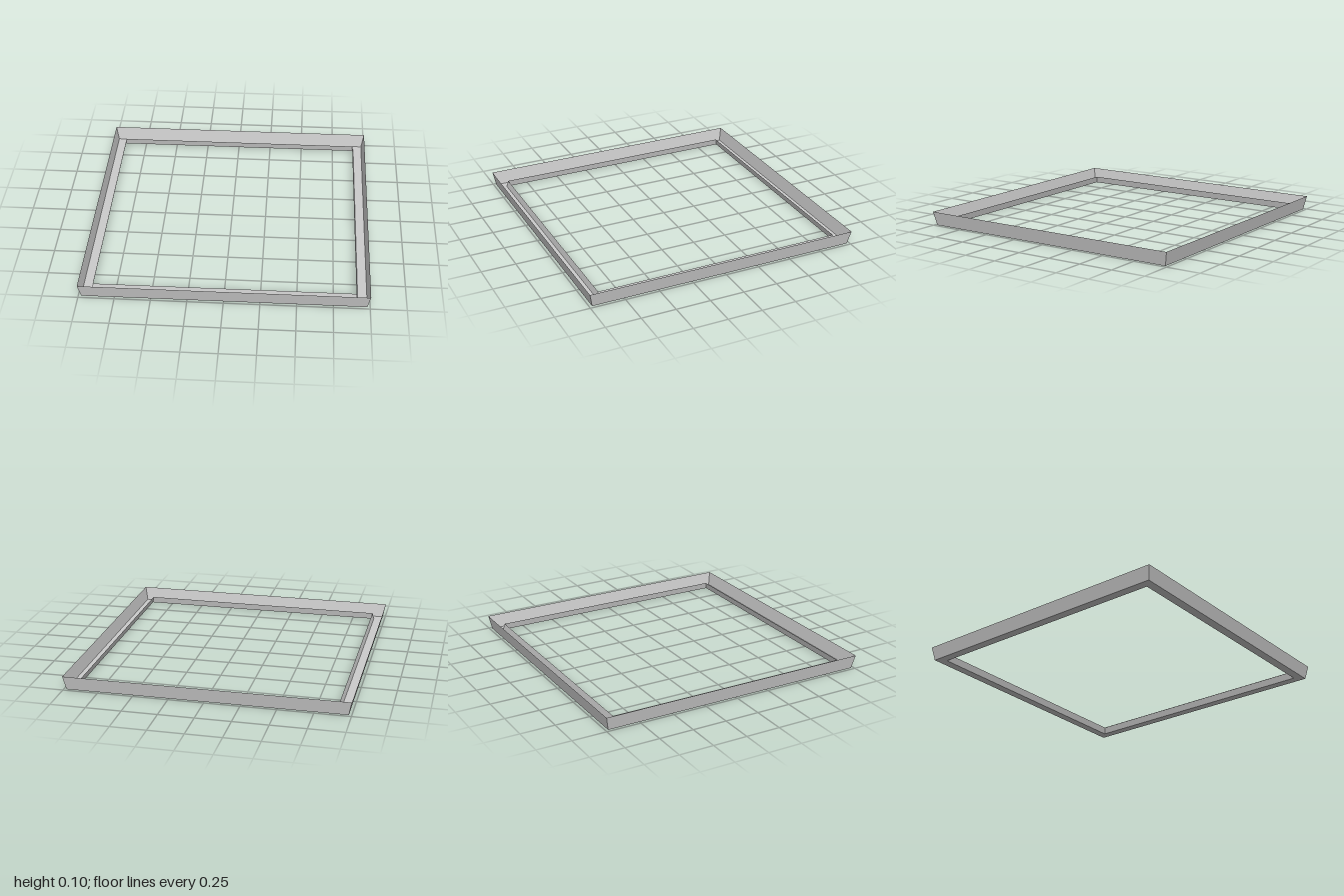
import * as THREE from 'three';

// Square channel frame: a thin tray section swept around four mitred sides.
export function createModel() {
  const group = new THREE.Group();
  group.name = 'squareFrame';

  const material = new THREE.MeshStandardMaterial({
    color: 0xcccccc, flatShading: true, side: THREE.DoubleSide,
  });

  // Four-sided ring; each section point is [distance from centre to side, height]
  const addRing = (name, section) => {
    const points = section.map(([d, y]) => new THREE.Vector2(d * Math.SQRT2, y));
    const mesh = new THREE.Mesh(new THREE.LatheGeometry(points, 4, Math.PI / 4), material);
    mesh.name = name;
    group.add(mesh);
  };

  addRing('outerWall', [[0.98, 0], [1, 0.1]]);
  addRing('channelFloor', [[0.917, 0], [0.98, 0]]);
  addRing('innerLip', [[0.906, 0.05], [0.917, 0]]);

  return group;
}
